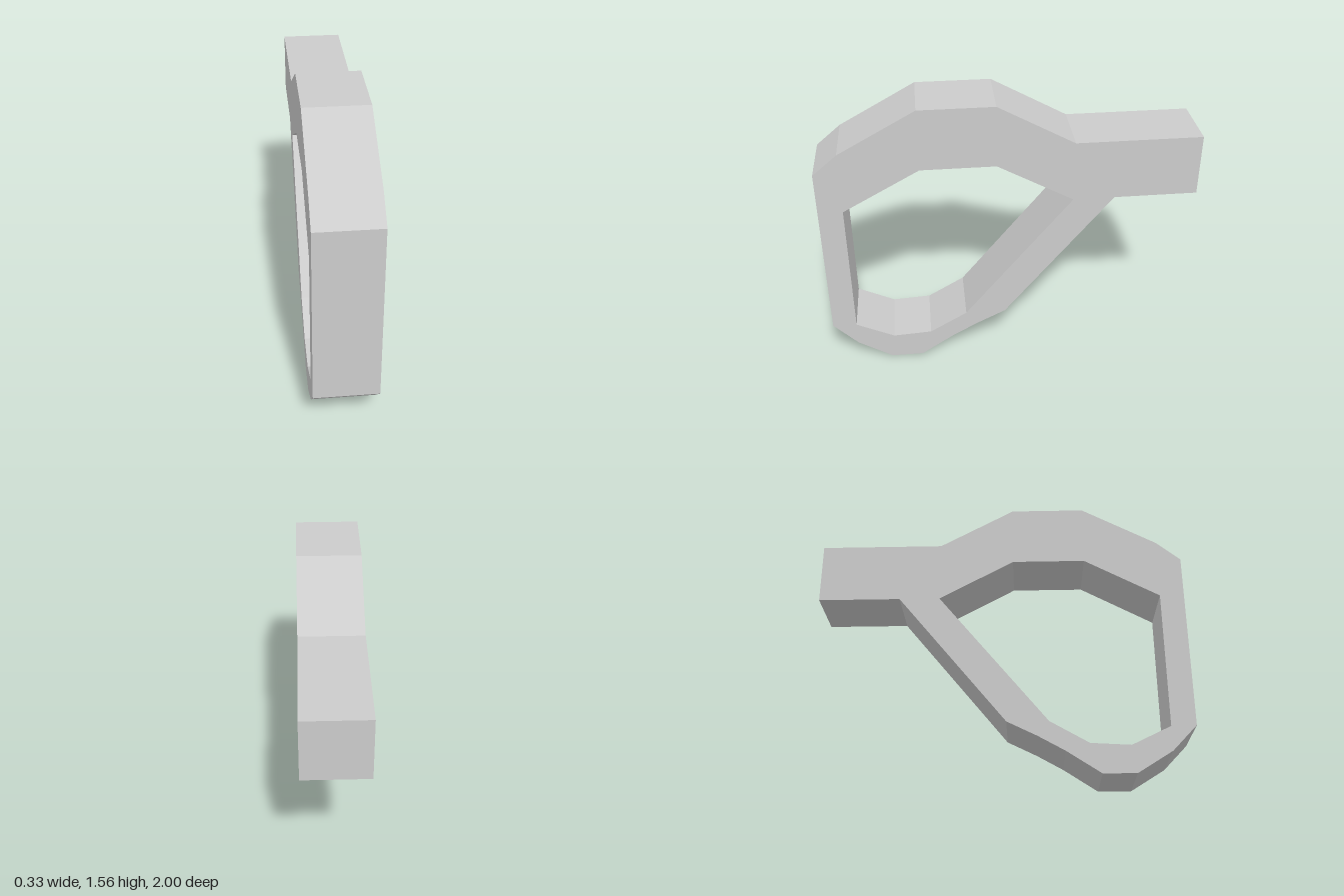
import * as THREE from 'three';

const WIDTH = 0.333;
const toPoints = (list) => list.map(([z, y]) => new THREE.Vector2(z, y));

export function createModel() {
  const group = new THREE.Group();
  group.name = 'loopHandle';

  // Side outline as [z, y]: angular loop with a stub bar at the back
  const outline = new THREE.Shape(toPoints([
    [1, 0.25], [1, 1.225], [0.87, 1.335], [0.465, 1.56], [0.07, 1.56],
    [-0.335, 1.335], [-1, 1.335], [-1, 1], [-0.555, 1], [0.03, 0.28],
    [0.19, 0.2], [0.33, 0.12], [0.51, 0], [0.685, 0], [0.87, 0.115],
  ]));

  // Opening inside the loop
  outline.holes.push(new THREE.Path(toPoints([
    [0.87, 1], [0.87, 0.247], [0.665, 0.148], [0.455, 0.16],
    [0.25, 0.28], [-0.335, 1], [0.07, 1.225], [0.465, 1.225],
  ])));

  // Extrude across the width, then turn the outline into the z-y plane
  const geometry = new THREE.ExtrudeGeometry(outline, { depth: WIDTH, bevelEnabled: false });
  geometry.translate(0, 0, -WIDTH / 2);
  geometry.rotateY(-Math.PI / 2);

  const frame = new THREE.Mesh(
    geometry,
    new THREE.MeshStandardMaterial({ color: 0xcccccc, flatShading: true }),
  );
  frame.name = 'handleFrame';
  group.add(frame);
  return group;
}
